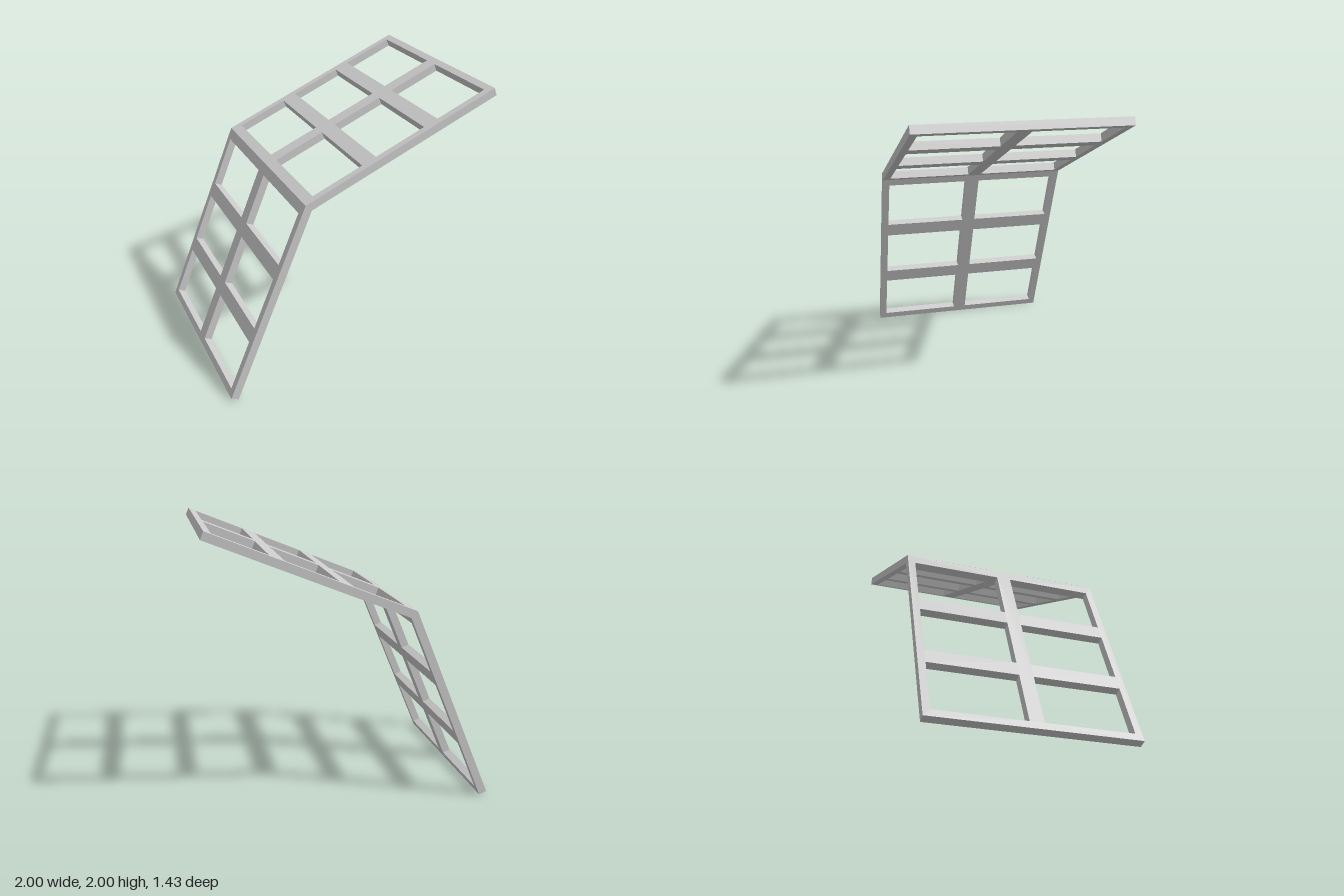
import * as THREE from 'three';

const LENGTH = 1.49;     // free end to the inner fold line
const HALF_WIDTH = 0.714;
const THICK = 0.058;
const BORDER = 0.053;    // outer frame strip
const BAR = 0.11;        // cross bars between openings
const HALF_RIB = 0.05;   // half of the central rib
const SLOPE = THREE.MathUtils.degToRad(67.5);

function rectangle(Type, u0, u1, v0, v1) {
  const r = new Type();
  r.moveTo(u0, v0);
  r.lineTo(u1, v0);
  r.lineTo(u1, v1);
  r.lineTo(u0, v1);
  r.closePath();
  return r;
}

// Flat frame with 3 x 2 openings, mitred at the fold end
function panelGeometry() {
  const shape = rectangle(THREE.Shape, 0, LENGTH, -HALF_WIDTH, HALF_WIDTH);
  const opening = (LENGTH - 2 * BORDER - 2 * BAR) / 3;
  const edge = HALF_WIDTH - 0.05;
  for (let i = 0; i < 3; i++) {
    const u = BORDER + i * (opening + BAR);
    shape.holes.push(rectangle(THREE.Path, u, u + opening, HALF_RIB, edge));
    shape.holes.push(rectangle(THREE.Path, u, u + opening, -edge, -HALF_RIB));
  }
  const geometry = new THREE.ExtrudeGeometry(shape, { depth: THICK, bevelEnabled: false });

  // Lengthen the outer face so both panels meet along the fold
  const pos = geometry.attributes.position;
  for (let i = 0; i < pos.count; i++) {
    if (pos.getX(i) > LENGTH - 1e-4) {
      pos.setX(i, LENGTH + pos.getZ(i) * Math.tan(Math.PI / 8));
    }
  }
  geometry.computeVertexNormals();
  return geometry;
}

export function createModel() {
  const group = new THREE.Group();
  group.name = 'foldedFrame';
  const material = new THREE.MeshStandardMaterial({ color: 0xcccccc, flatShading: true });
  const c = Math.cos(SLOPE), s = Math.sin(SLOPE);

  // Place a panel from its free end: along runs to the fold, out is the outer side
  function addPanel(name, start, along, out) {
    const across = new THREE.Vector3().crossVectors(out, along);
    const matrix = new THREE.Matrix4().makeBasis(along, across, out).setPosition(start);
    const mesh = new THREE.Mesh(panelGeometry().applyMatrix4(matrix), material);
    mesh.name = name;
    group.add(mesh);
  }

  addPanel('lowerPanel', new THREE.Vector3(-1 + THICK * s, 0, 0),
    new THREE.Vector3(c, s, 0), new THREE.Vector3(-s, c, 0));
  addPanel('upperPanel', new THREE.Vector3(1, 2 - THICK * s, 0),
    new THREE.Vector3(-s, -c, 0), new THREE.Vector3(-c, s, 0));

  return group;
}
